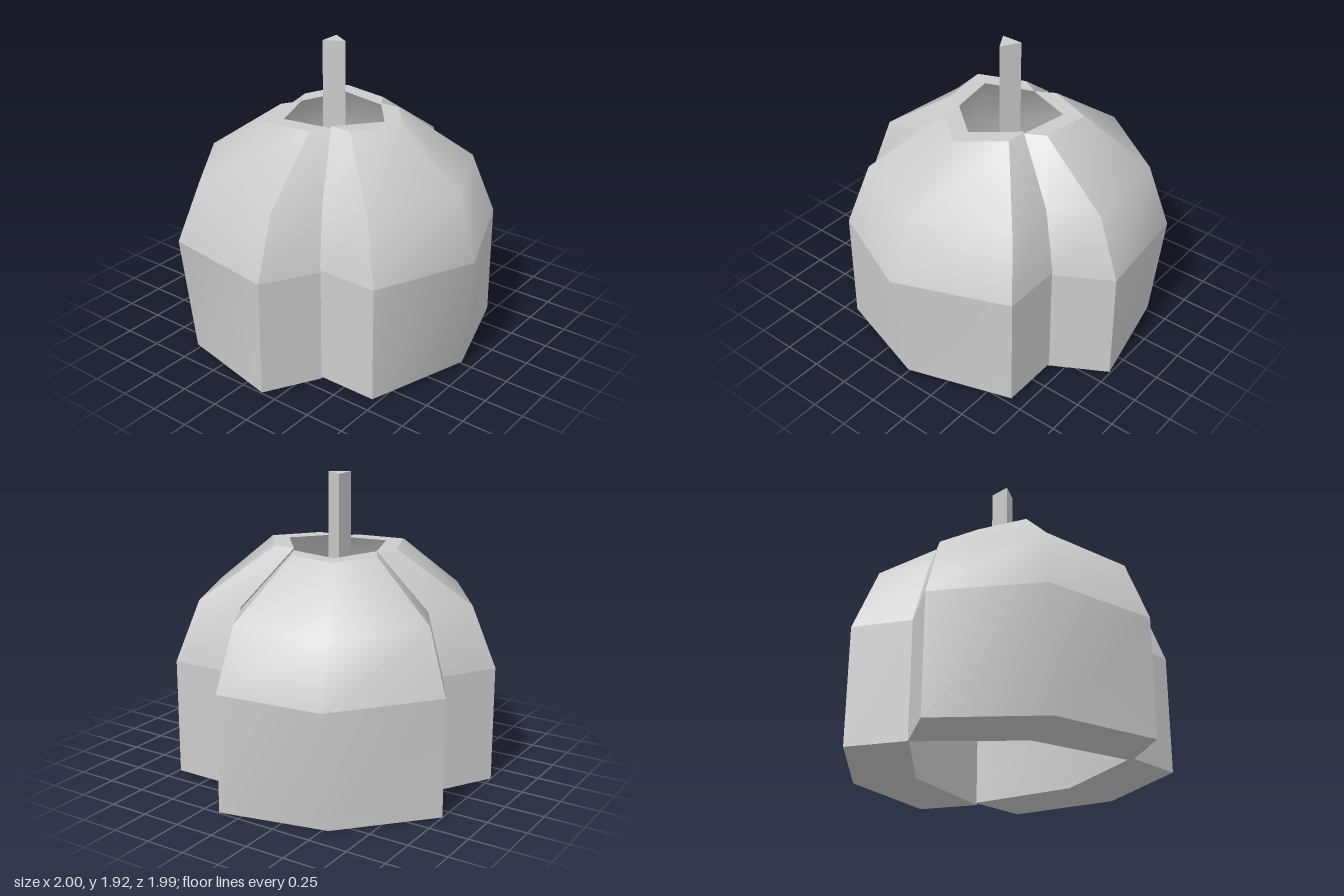
import * as THREE from 'three';
import { mergeGeometries } from 'three/addons/utils/BufferGeometryUtils.js';

const V = (x, y, z) => new THREE.Vector3(x, y, z);

// Smooth patch stitched between rows of points
function patch(rows) {
  const n = rows[0].length, index = [];
  for (let r = 0; r < rows.length - 1; r++) {
    for (let c = 0; c < n - 1; c++) {
      const p = r * n + c, q = p + n;
      index.push(p, q, p + 1, p + 1, q, q + 1);
    }
  }
  const geo = new THREE.BufferGeometry().setFromPoints(rows.flat());
  geo.setIndex(index);
  geo.computeVertexNormals();
  return geo;
}

// Cross-sections of one lobe: height, valley x, corner x, half width, apex x, apex z, inner apex x
const SECTIONS = [
  [0.00, 0.375, 0.765, 0.66, 0.975, 0.00, 0.565],
  [0.74, 0.375, 0.765, 0.66, 1.045, 0.04, 0.565],
  [1.13, 0.325, 0.645, 0.565, 0.905, 0.00, 0.53],
  [1.46, 0.145, 0.285, 0.253, 0.485, 0.00, 0.355],
];

function lobeGeometry() {
  const rings = SECTIONS.map(([y, vx, cx, w, ax, az, ix]) => ({
    back: [V(vx, y, -w), V(cx, y, -w)],
    outer: [V(cx, y, -w), V(ax, y, az), V(cx, y, w)],
    front: [V(cx, y, w), V(vx, y, w)],
    inner: [V(vx, y, w), V(ix, y, 0), V(vx, y, -w)],
  }));
  const parts = [];
  // upright wall and dome, creased where they meet
  for (const span of [rings.slice(0, 2), rings.slice(1)]) {
    for (const side of ['back', 'outer', 'front', 'inner']) {
      parts.push(patch(span.map((ring) => ring[side])));
    }
  }
  // flat rims at bottom and top
  const low = rings[0], high = rings[3];
  parts.push(patch([[...low.inner].reverse(), low.outer]));
  parts.push(patch([high.inner, [...high.outer].reverse()]));
  return mergeGeometries(parts);
}

export function createModel() {
  const model = new THREE.Group();
  const material = new THREE.MeshStandardMaterial({ color: 0xcccccc });

  // three identical hollow lobes around the axis
  const geometry = lobeGeometry();
  ['leftLobe', 'frontLobe', 'backLobe'].forEach((name, i) => {
    const lobe = new THREE.Mesh(geometry, material);
    lobe.name = name;
    lobe.rotation.y = -i * Math.PI * 2 / 3;
    lobe.position.set(-0.045, i === 0 ? 0.013 : 0, 0);
    model.add(lobe);
  });

  // triangular stem standing in the opening
  const flat = material.clone();
  flat.flatShading = true;
  const stem = new THREE.Mesh(new THREE.CylinderGeometry(0.08, 0.08, 1.52, 3), flat);
  stem.name = 'stem';
  stem.rotation.y = Math.PI / 2;
  stem.position.set(-0.067, 1.16, 0);
  model.add(stem);

  return model;
}
